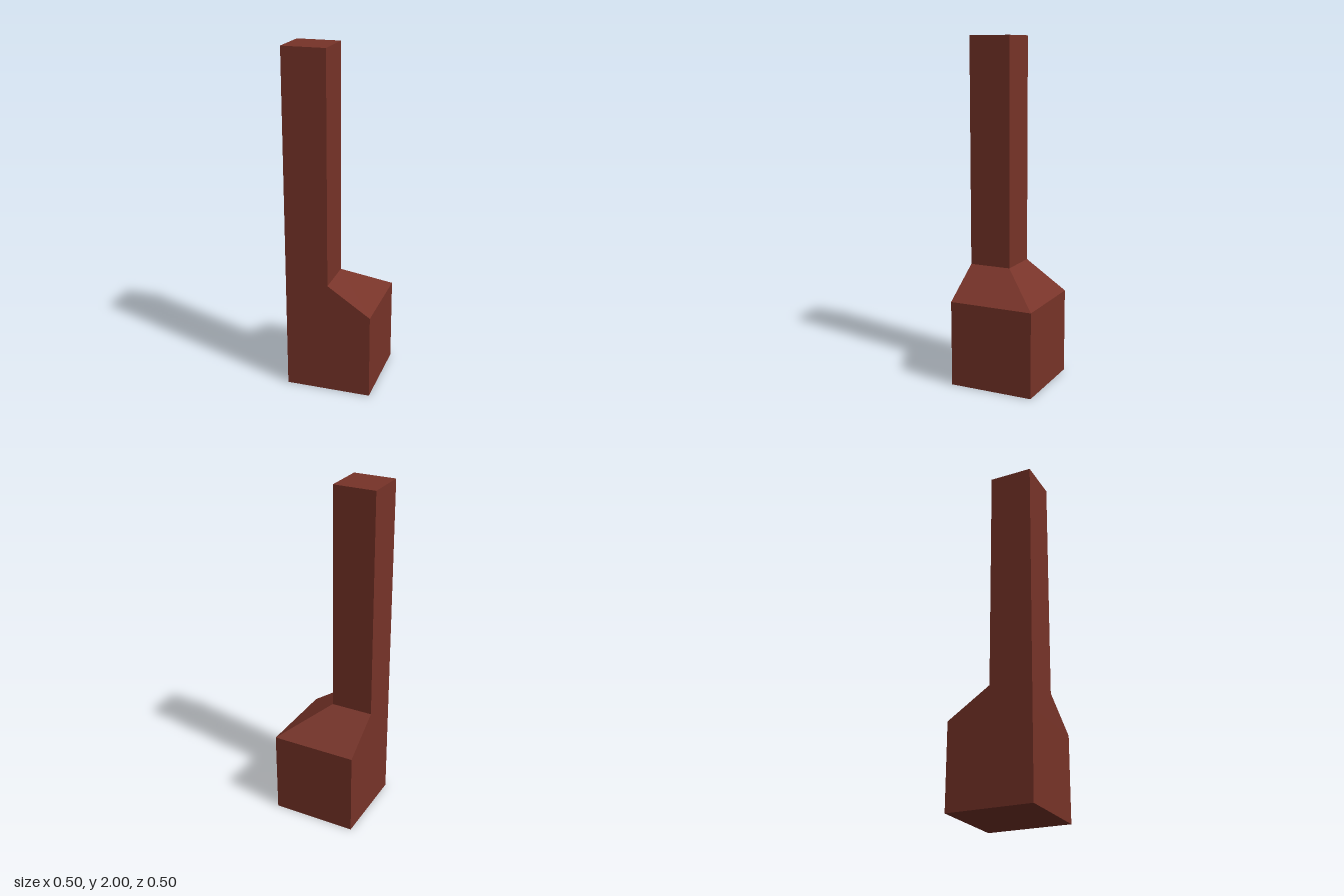
import * as THREE from 'three';

const brick = new THREE.MeshStandardMaterial({ color: 0x773328 });
brick.name = 'brick red';

// Rectangular cross-section: left/right edges in x, back/front edges in z, at height y
const wide = (y) => ({ y, x0: -0.25, x1: 0.25, z0: -0.25, z1: 0.25 });
const narrow = (y) => ({ y, x0: -0.25, x1: 0, z0: 0, z1: 0.25 });

// Corners counter-clockwise seen from above
const corners = (r) => [
  [r.x0, r.y, r.z1], [r.x1, r.y, r.z1], [r.x1, r.y, r.z0], [r.x0, r.y, r.z0],
];

// Flat-sided section between two rectangles, capped only where exposed
function section(name, lower, upper, { bottom = false, top = false } = {}) {
  const a = corners(lower), b = corners(upper), points = [];
  const quad = (p, q, r, s) => points.push(...p, ...q, ...r, ...p, ...r, ...s);
  for (let i = 0; i < 4; i++) {
    const j = (i + 1) % 4;
    quad(a[i], a[j], b[j], b[i]);
  }
  if (top) quad(b[0], b[1], b[2], b[3]);
  if (bottom) quad(a[3], a[2], a[1], a[0]);

  const geometry = new THREE.BufferGeometry();
  geometry.setAttribute('position', new THREE.Float32BufferAttribute(points, 3));
  geometry.computeVertexNormals();
  const mesh = new THREE.Mesh(geometry, brick);
  mesh.name = name;
  return mesh;
}

export function createModel() {
  const chimney = new THREE.Group();
  chimney.name = 'chimney';
  chimney.add(
    section('base', wide(0), wide(0.5), { bottom: true }),
    // Shoulder slopes in from the left and the back to the corner stack
    section('shoulder', wide(0.5), narrow(0.667)),
    section('stack', narrow(0.667), narrow(2), { top: true }),
  );
  return chimney;
}
